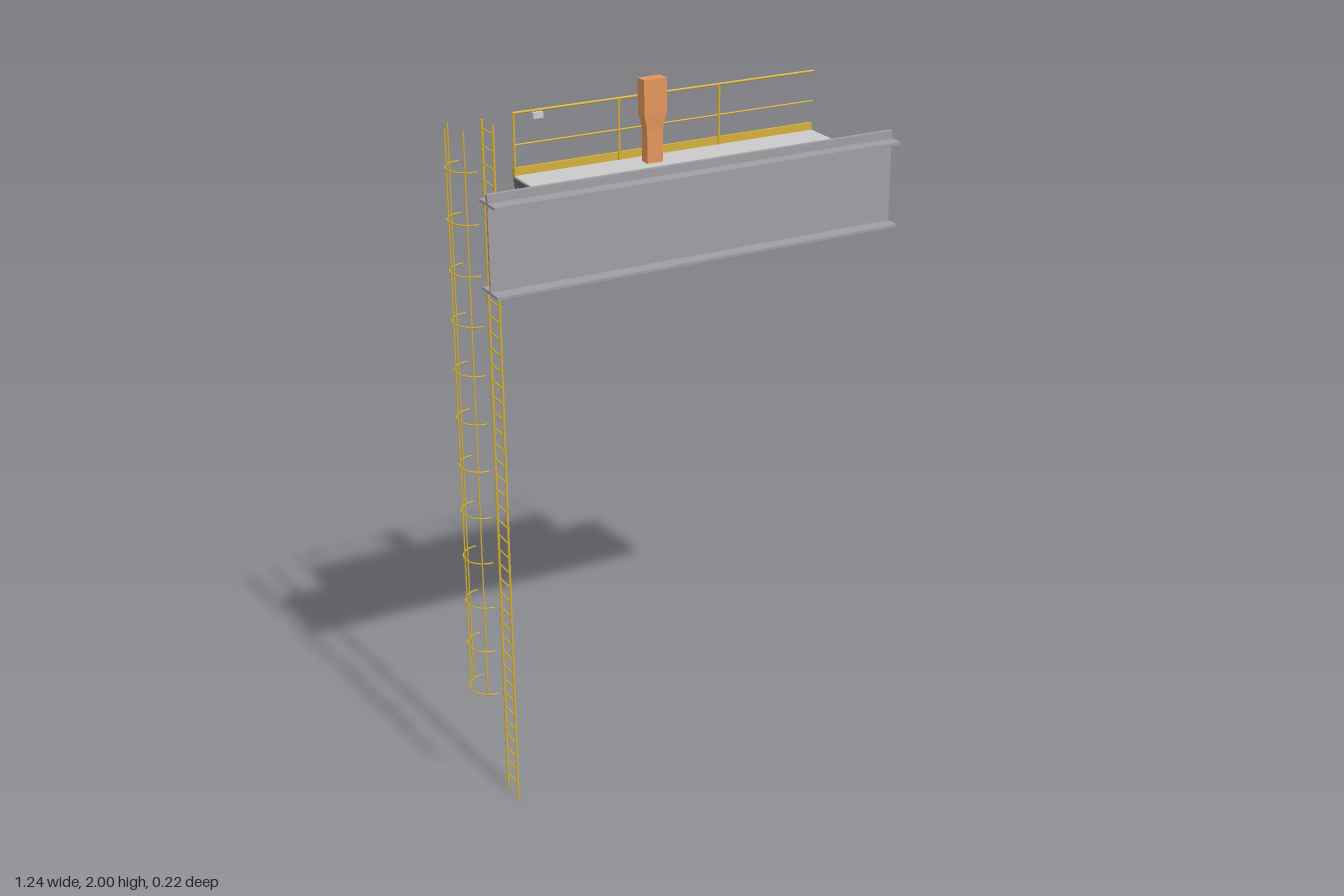
import * as THREE from 'three';

const mat = (name, color) => new THREE.MeshStandardMaterial({ name, color });

export function createModel() {
  const root = new THREE.Group();
  root.name = 'craneGirderWithLadder';
  const girderGrey = mat('girder grey', 0xa09ea4);
  const deckGrey = mat('deck grey', 0xcacaca);
  const steelDark = mat('dark steel', 0x63656a);
  const safetyYellow = mat('safety yellow', 0xd4b03a);
  const orange = mat('orange', 0xe2965a);

  const group = (name) => {
    const g = new THREE.Group();
    g.name = name;
    root.add(g);
    return g;
  };
  // Box given by its limits on each axis
  const box = (parent, name, m, [x0, x1], [y0, y1], [z0, z1]) => {
    const mesh = new THREE.Mesh(new THREE.BoxGeometry(x1 - x0, y1 - y0, z1 - z0), m);
    mesh.position.set((x0 + x1) / 2, (y0 + y1) / 2, (z0 + z1) / 2);
    mesh.name = name;
    parent.add(mesh);
  };
  // Round bar between two points
  const bar = (parent, name, m, a, b, r) => {
    const p = new THREE.Vector3(...a), q = new THREE.Vector3(...b);
    const d = q.clone().sub(p);
    const mesh = new THREE.Mesh(new THREE.CylinderGeometry(r, r, d.length(), 8), m);
    mesh.position.copy(p).add(q).multiplyScalar(0.5);
    mesh.quaternion.setFromUnitVectors(new THREE.Vector3(0, 1, 0), d.normalize());
    mesh.name = name;
    parent.add(mesh);
  };

  // I-beam girder with a rail on top
  const girder = group('girder');
  const gx = [-0.565, 0.617];
  box(girder, 'bottomFlange', girderGrey, gx, [1.543, 1.55], [0.017, 0.107]);
  box(girder, 'topFlange', girderGrey, gx, [1.772, 1.779], [0.017, 0.107]);
  box(girder, 'web', girderGrey, gx, [1.55, 1.772], [0.059, 0.066]);
  box(girder, 'rail', girderGrey, gx, [1.779, 1.801], [0.056, 0.068]);

  // Walkway: deck, edge channels, toe board
  const walkway = group('walkway');
  const wx = [-0.415, 0.47];
  box(walkway, 'deck', deckGrey, wx, [1.776, 1.781], [-0.104, 0.011]);
  for (const [web, flange, top] of [
    [[-0.106, -0.102], [-0.106, -0.09], 1.776],
    [[0.011, 0.016], [0, 0.015], 1.782],
  ]) {
    box(walkway, 'channelWeb', steelDark, wx, [1.752, top], web);
    box(walkway, 'channelTopFlange', steelDark, wx, [1.772, 1.7755], flange);
    box(walkway, 'channelBottomFlange', steelDark, wx, [1.7525, 1.757], flange);
  }
  box(walkway, 'toeBoard', safetyYellow, wx, [1.774, 1.801], [-0.111, -0.103]);

  // Cross beams and diagonal braces
  for (const x of [-0.405, 0.03]) {
    box(walkway, 'crossBeam', steelDark, [x - 0.008, x + 0.008], [1.755, 1.776], [-0.102, 0.014]);
    const brace = new THREE.Mesh(new THREE.BoxGeometry(0.014, 0.014, 0.16), steelDark);
    brace.position.set(x, 1.7, -0.042);
    brace.rotation.x = Math.atan2(0.105, 0.12);
    brace.name = 'brace';
    walkway.add(brace);
  }

  // Handrail
  const handrail = group('handrail');
  const hz = -0.102;
  for (const x of [-0.412, -0.117, 0.179])
    bar(handrail, 'post', safetyYellow, [x, 1.776, hz], [x, 1.945, hz], 0.0034);
  bar(handrail, 'topRail', safetyYellow, [-0.415, 1.943, hz], [0.47, 1.943, hz], 0.0034);
  bar(handrail, 'midRail', safetyYellow, [-0.415, 1.861, hz], [0.47, 1.861, hz], 0.0024);
  box(handrail, 'switchBox', deckGrey, [-0.36, -0.332], [1.922, 1.938], [-0.108, -0.096]);

  // Orange mast: narrow column flaring into a wider head
  const mast = group('mast');
  const levels = [[1.78, 0.023, 0.0145], [1.87, 0.023, 0.0145], [1.91, 0.0325, 0.0175], [2.0, 0.0325, 0.0175]];
  const pos = [], idx = [];
  const corners = [[-1, 1], [1, 1], [1, -1], [-1, -1]];
  for (const [y, hx, hzz] of levels)
    for (const [sx, sz] of corners) pos.push(sx * hx, y, sz * hzz);
  for (let l = 0; l < 3; l++)
    for (let i = 0; i < 4; i++) {
      const a = l * 4 + i, b = l * 4 + (i + 1) % 4;
      idx.push(a, b, b + 4, a, b + 4, a + 4);
    }
  idx.push(12, 13, 14, 12, 14, 15, 0, 2, 1, 0, 3, 2);
  const indexed = new THREE.BufferGeometry();
  indexed.setAttribute('position', new THREE.Float32BufferAttribute(pos, 3));
  indexed.setIndex(idx);
  const mastGeo = indexed.toNonIndexed();
  mastGeo.computeVertexNormals();
  const mastMesh = new THREE.Mesh(mastGeo, orange);
  mastMesh.position.set(-0.048, 0, -0.049);
  mastMesh.name = 'mastBody';
  mast.add(mastMesh);

  // Ladder
  const ladder = group('ladder');
  const lx = -0.507;
  for (const z of [-0.015, -0.081])
    bar(ladder, 'stile', safetyYellow, [lx, 0, z], [lx, 1.945, z], 0.0036);
  for (let i = 0; i < 43; i++) {
    const y = 0.045 + i * 0.0447;
    bar(ladder, 'rung', safetyYellow, [lx, y, -0.081], [lx, y, -0.015], 0.0022);
  }

  // Safety cage: half hoops and vertical straps
  const cage = group('safetyCage');
  const cx = -0.563, cz = -0.05, r = 0.056;
  const hoopGeo = new THREE.TorusGeometry(r, 0.002, 6, 24, Math.PI);
  hoopGeo.rotateZ(Math.PI / 2).rotateX(Math.PI / 2);
  for (let i = 0; i < 12; i++) {
    const hoop = new THREE.Mesh(hoopGeo, safetyYellow);
    hoop.position.set(cx, 0.371 + i * 0.1337, cz);
    hoop.name = 'hoop';
    cage.add(hoop);
  }
  for (const a of [-1.05, 0, 1.05]) {
    const x = cx - r * Math.cos(a), z = cz + r * Math.sin(a);
    bar(cage, 'strap', safetyYellow, [x, 0.37, z], [x, 1.945, z], 0.0022);
  }
  return root;
}
